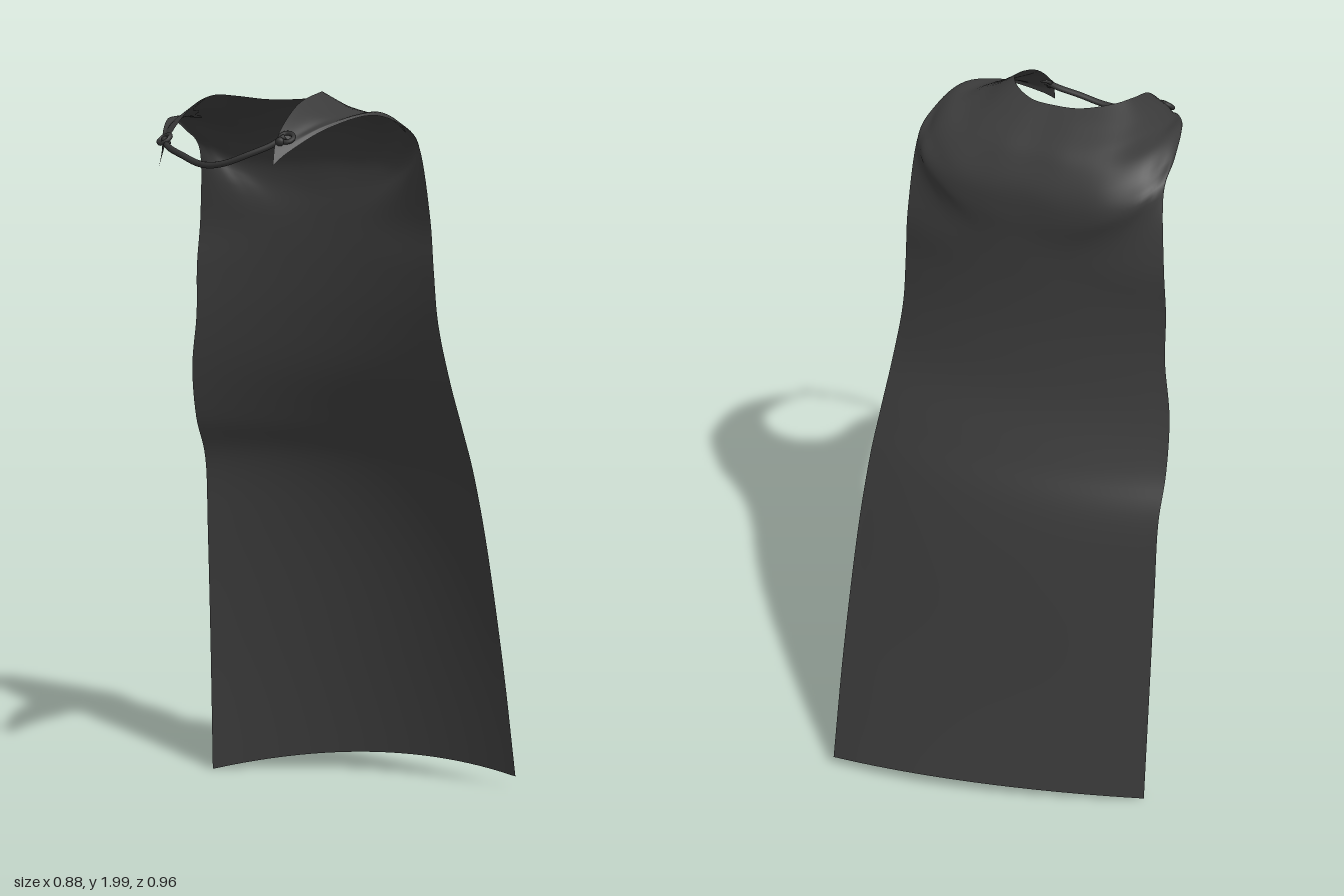
import * as THREE from 'three';

const V = (x, y, z) => new THREE.Vector3(x, y, z);

// Yoke: half rows from the centre of the back round to the front tip, neck edge first.
const yoke = [
  [[0, 1.985, 0.083], [0.06, 1.987, 0.09], [0.12, 1.996, 0.13], [0.147, 1.995, 0.19], [0.145, 1.96, 0.3], [0.152, 1.88, 0.41], [0.165, 1.81, 0.455]],
  [[0, 1.962, 0.04], [0.08, 1.962, 0.04], [0.16, 1.965, 0.08], [0.195, 1.965, 0.17], [0.202, 1.93, 0.3], [0.182, 1.875, 0.39], [0.187, 1.845, 0.41]],
  [[0, 1.925, -0.02], [0.09, 1.925, -0.02], [0.18, 1.935, 0.02], [0.235, 1.95, 0.12], [0.248, 1.935, 0.22], [0.237, 1.912, 0.31], [0.24, 1.9, 0.32]],
  [[0, 1.885, -0.055], [0.1, 1.885, -0.055], [0.2, 1.9, -0.03], [0.265, 1.93, 0.04], [0.29, 1.945, 0.13], [0.298, 1.942, 0.19], [0.3, 1.935, 0.2]],
  [[0, 1.83, -0.085], [0.11, 1.83, -0.085], [0.21, 1.85, -0.07], [0.285, 1.885, -0.015], [0.315, 1.908, 0.05], [0.325, 1.915, 0.075], [0.33, 1.91, 0.08]],
  [[0, 1.76, -0.093], [0.11, 1.77, -0.093], [0.21, 1.79, -0.085], [0.28, 1.82, -0.06], [0.315, 1.84, -0.03], [0.332, 1.85, -0.01], [0.337, 1.855, 0]],
];
// Drape: left and right below mean -x and +x. [y, x-, z-, zMiddle, x+, z+]
const drape = [
  [1.68, -0.36, -0.035, -0.092, 0.342, -0.055],
  [1.54, -0.37, -0.03, -0.095, 0.353, -0.058],
  [1.4, -0.375, -0.033, -0.108, 0.362, -0.07],
  [1.25, -0.4, -0.047, -0.138, 0.383, -0.1],
  [1.1, -0.413, -0.085, -0.198, 0.396, -0.165],
  [0.97, -0.42, -0.143, -0.255, 0.406, -0.22],
  [0.75, -0.428, -0.165, -0.305, 0.416, -0.295],
  [0.4, -0.436, -0.187, -0.36, 0.426, -0.395],
];

function yokeRow(half, r) {
  const fade = Math.max(0, 1 - r * 0.25);
  const left = half.slice(1).reverse().map(([x, y, z], i) =>
    V(-x - 0.028 * fade * Math.sin(Math.PI * i / 6), y, z));
  return [...left, ...half.map((p) => V(...p))];
}

function drapeRow([y, xl, zl, zm, xr, zr], dl = 0, dr = 0) {
  return Array.from({ length: 13 }, (_, i) => {
    const u = i / 6 - 1;
    const a = u * (u - 1) / 2, b = 1 - u * u, c = u * (u + 1) / 2;
    return V(a * xl + c * xr, y + a * dl + c * dr, a * zl + b * zm + c * zr);
  });
}

// Smooth sheet through the cross rows
function sheet(rows, nu, nv) {
  const across = rows.map((r) => new THREE.CatmullRomCurve3(r, false, 'catmullrom', 0.5));
  const pos = [], idx = [];
  for (let i = 0; i <= nu; i++) {
    const down = new THREE.CatmullRomCurve3(across.map((c) => c.getPoint(i / nu)), false, 'catmullrom', 0.5);
    for (let j = 0; j <= nv; j++) pos.push(...down.getPoint(j / nv).toArray());
  }
  for (let i = 0; i < nu; i++) {
    for (let j = 0; j < nv; j++) {
      const a = i * (nv + 1) + j, b = a + nv + 1;
      idx.push(a, b, a + 1, b, b + 1, a + 1);
    }
  }
  const g = new THREE.BufferGeometry();
  g.setAttribute('position', new THREE.Float32BufferAttribute(pos, 3));
  g.setIndex(idx);
  g.computeVertexNormals();
  return g;
}

export function createModel() {
  const group = new THREE.Group();
  const cloth = new THREE.MeshStandardMaterial({ color: 0x3a3a3a, side: THREE.DoubleSide });
  const cordMat = new THREE.MeshStandardMaterial({ color: 0x333333 });
  const add = (name, geo, mat) => {
    const m = new THREE.Mesh(geo, mat);
    m.name = name;
    group.add(m);
    return m;
  };

  // Cape cloth, from neck edge to slanting hem
  const hem = drapeRow([0.07, -0.44, -0.2, -0.41, 0.435, -0.48], -0.065, -0.025);
  add('capeCloth', sheet([...yoke.map(yokeRow), ...drape.map((d) => drapeRow(d)), hem], 60, 84), cloth);

  // Cord hanging between the two front tips
  const cord = new THREE.CatmullRomCurve3([
    V(-0.175, 1.88, 0.415), V(-0.155, 1.86, 0.43), V(-0.09, 1.835, 0.457), V(-0.04, 1.817, 0.47),
    V(0, 1.812, 0.474), V(0.04, 1.817, 0.47), V(0.09, 1.835, 0.455), V(0.145, 1.86, 0.425), V(0.17, 1.88, 0.405),
  ]);
  add('neckCord', new THREE.TubeGeometry(cord, 40, 0.008, 8), cordMat);

  // Eyelet ring and knot at each tip
  for (const s of [-1, 1]) {
    const ring = add(s > 0 ? 'leftEyelet' : 'rightEyelet', new THREE.TorusGeometry(0.017, 0.006, 8, 20), cordMat);
    ring.position.set(s * 0.174, 1.878, s > 0 ? 0.402 : 0.415);
    ring.rotation.set(-0.9, s * 0.2, 0);
    const knot = add(s > 0 ? 'leftKnot' : 'rightKnot', new THREE.SphereGeometry(0.011, 10, 8), cordMat);
    knot.position.set(s * 0.165, 1.868, 0.42);
  }
  return group;
}
